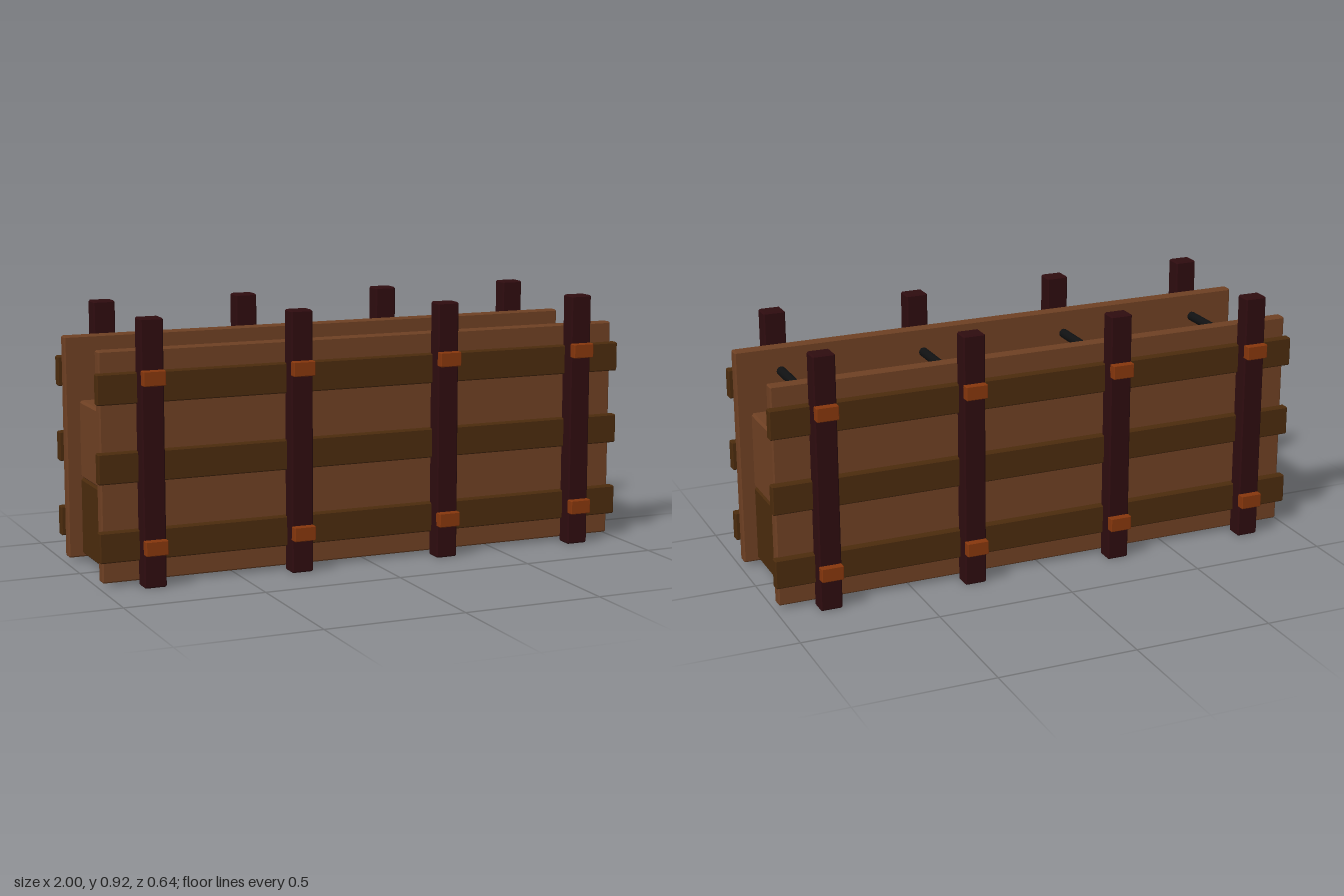
import * as THREE from 'three';
import { ConvexGeometry } from 'three/addons/geometries/ConvexGeometry.js';

const material = (name, color) => {
  const m = new THREE.MeshStandardMaterial({ color });
  m.name = name;
  return m;
};

// Box with chamfered edges: each corner becomes three points
function chamferBox(w, h, d, c) {
  const points = [];
  for (const sx of [-1, 1]) for (const sy of [-1, 1]) for (const sz of [-1, 1]) {
    const x = w / 2, y = h / 2, z = d / 2;
    points.push(
      new THREE.Vector3(sx * x, sy * (y - c), sz * (z - c)),
      new THREE.Vector3(sx * (x - c), sy * y, sz * (z - c)),
      new THREE.Vector3(sx * (x - c), sy * (y - c), sz * z));
  }
  return new ConvexGeometry(points);
}

export function createModel() {
  const panelWood = material('panel wood', 0x6e4023);
  const darkWood = material('dark wood', 0x4b2b0d);
  const postWood = material('post wood', 0x2e0c0f);
  const wedgeWood = material('wedge wood', 0x86360c);
  const iron = material('black iron', 0x101112);

  const model = new THREE.Group();
  model.name = 'formwork';

  // Adds a chamfered box given its ranges on y and z
  function addBox(name, mat, x, width, [y0, y1], [z0, z1], chamfer) {
    const mesh = new THREE.Mesh(chamferBox(width, y1 - y0, Math.abs(z1 - z0), chamfer), mat);
    mesh.position.set(x, (y0 + y1) / 2, (z0 + z1) / 2);
    mesh.name = name;
    model.add(mesh);
  }

  // Wall core in two layers
  addBox('lowerCore', darkWood, 0, 1.87, [0.024, 0.303], [-0.182, 0.182], 0.008);
  addBox('upperCore', panelWood, 0, 1.87, [0.303, 0.581], [-0.182, 0.182], 0.008);

  const postX = [-0.82, -0.28, 0.28, 0.818];

  // Both sides carry a panel, rails, posts and wedges
  for (const s of [1, -1]) {
    addBox('panel', panelWood, 0, 1.97, [0.013, 0.81], [s * 0.181, s * 0.223], 0.005);
    for (const y of [0.142, 0.413, 0.683]) {
      addBox('rail', darkWood, 0, 2, [y - 0.053, y + 0.053], [s * 0.217, s * 0.251], 0.004);
    }
    for (const x of postX) {
      addBox('post', postWood, x, 0.08, [0, 0.922], [s * 0.234, s * 0.298], 0.005);
      for (const y of [0.142, 0.722]) {
        addBox('wedge', wedgeWood, x, 0.08, [y - 0.026, y + 0.026], [s * 0.288, s * 0.322], 0.003);
      }
    }
  }

  // Tie rods across the top
  const rodGeometry = new THREE.CylinderGeometry(0.017, 0.017, 0.56, 12).rotateX(Math.PI / 2);
  for (const x of postX) {
    const rod = new THREE.Mesh(rodGeometry, iron);
    rod.position.set(x, 0.721, 0);
    rod.name = 'tieRod';
    model.add(rod);
  }
  return model;
}
